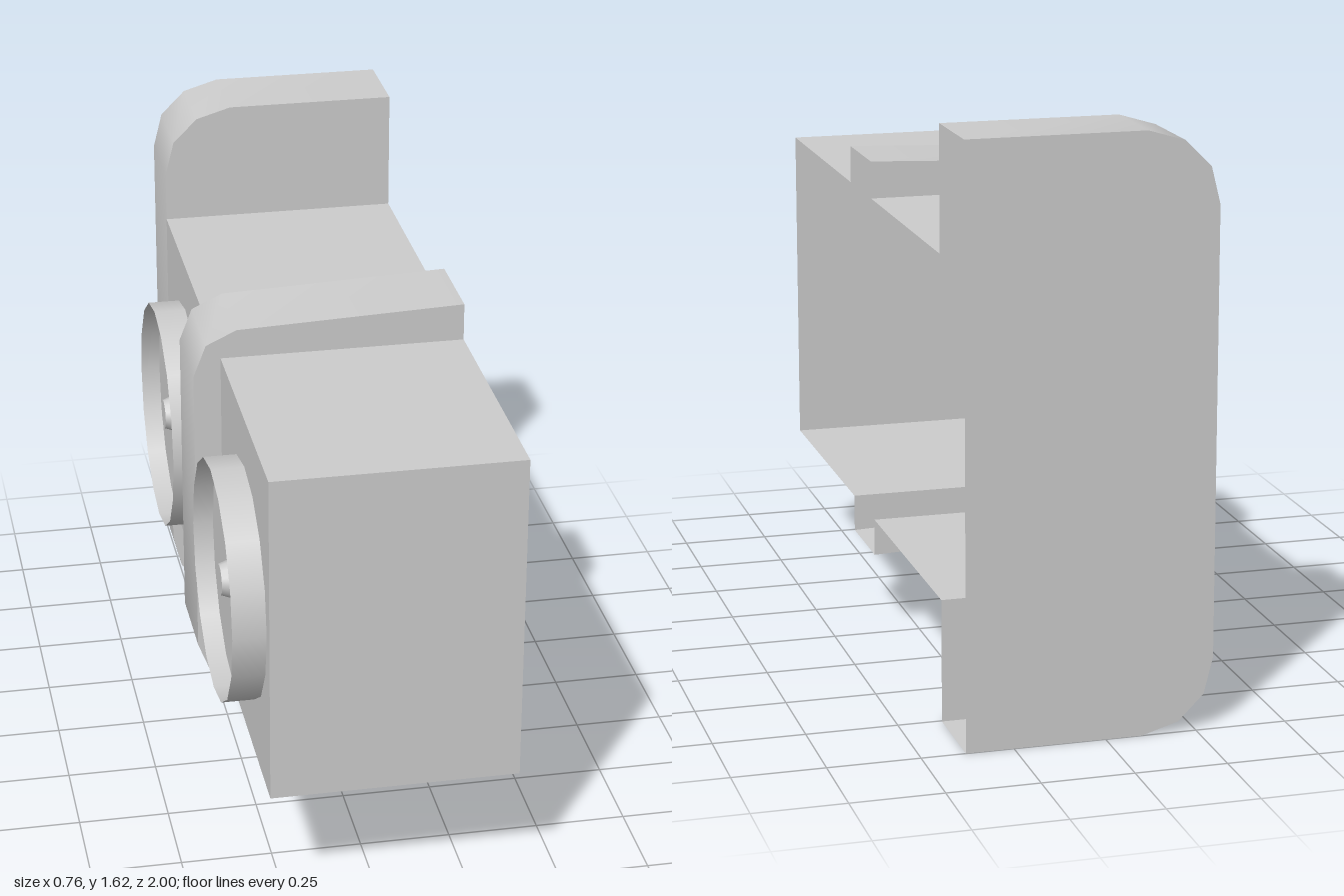
import * as THREE from 'three';
import { toCreasedNormals } from 'three/addons/utils/BufferGeometryUtils.js';

const MID = 0.8075; // height of the horizontal mirror plane
const OPEN = 0.38; // the shell is open on this side
const WALL = -0.295; // closed side wall

// Lower halves of the cross-sections, from the open side to the closed wall
const bodyHalf = [[OPEN, 0.34], [WALL, 0.34]];
const collarHalf = [[OPEN, 0.235], [-0.25, 0.26], [-0.335, 0.30], [-0.37, 0.39]];
const plateHalf = [[OPEN, 0], [-0.1, 0], [-0.2, 0.03], [-0.27, 0.1], [WALL, 0.2]];

const flip = ([x, y]) => [x, 2 * MID - y];
const mirrored = (half) => [...half, ...half.map(flip).reverse()];

export function createModel() {
  const model = new THREE.Group();
  const material = new THREE.MeshStandardMaterial({ color: 0xcccccc, side: THREE.DoubleSide });

  const add = (name, geometry, parent = model) => {
    const mesh = new THREE.Mesh(geometry, material);
    mesh.name = name;
    parent.add(mesh);
    return mesh;
  };

  // Open sheet: a mirrored cross-section swept from z0 to z1
  const sheet = (name, half, z0, z1) => {
    const outline = mirrored(half);
    const positions = [];
    for (let i = 0; i < outline.length - 1; i++) {
      const a = outline[i], b = outline[i + 1];
      positions.push(...a, z0, ...a, z1, ...b, z0, ...b, z0, ...a, z1, ...b, z1);
    }
    const geometry = new THREE.BufferGeometry();
    geometry.setAttribute('position', new THREE.Float32BufferAttribute(positions, 3));
    add(name, toCreasedNormals(geometry, 0.8));
  };

  // Flat panel across the given outline, facing front or back
  const panel = (name, points, z, facesBack = false) => {
    const s = facesBack ? -1 : 1;
    const shape = new THREE.Shape(points.map(([x, y]) => new THREE.Vector2(s * x, y)));
    const geometry = new THREE.ShapeGeometry(shape);
    if (facesBack) geometry.rotateY(Math.PI);
    add(name, geometry.translate(0, 0, z));
  };

  // Step between the body and a larger section, made as two mirrored halves
  const step = (name, half, z, facesBack) => {
    const edge = half[half.length - 1][0];
    const bridge = edge < WALL ? [[edge, MID], [WALL, MID]] : [];
    const lower = [...half, ...bridge, ...[...bodyHalf].reverse()];
    panel(name + 'Lower', lower, z, facesBack);
    panel(name + 'Upper', lower.map(flip), z, facesBack);
  };

  // Hollow body, collar and end plate
  sheet('frontBody', bodyHalf, 0.25, 1);
  sheet('collar', collarHalf, 0, 0.25);
  sheet('rearBody', bodyHalf, -0.755, 0);
  sheet('endPlateRim', plateHalf, -1, -0.755);
  panel('frontCap', mirrored(bodyHalf), 1);
  panel('endPlateBack', mirrored(plateHalf), -1, true);
  step('collarFrontStep', collarHalf, 0.25, false);
  step('collarRearStep', collarHalf, 0, true);
  step('endPlateFrontStep', plateHalf, -0.755, false);

  // Round dials on the closed wall: thin rim, recessed face, small button
  for (const [name, z] of [['frontDial', 0.63], ['rearDial', -0.4]]) {
    const dial = new THREE.Group();
    dial.name = name;
    dial.position.set(WALL, 0.805, z);
    dial.rotation.z = Math.PI / 2; // local +y points out of the wall
    model.add(dial);
    add('dialRim', new THREE.CylinderGeometry(0.33, 0.33, 0.09, 16, 1, true), dial).position.y = 0.045;
    add('dialFace', new THREE.CircleGeometry(0.33, 16).rotateX(-Math.PI / 2), dial).position.y = 0.035;
    add('dialButton', new THREE.CylinderGeometry(0.042, 0.055, 0.035, 12), dial).position.y = 0.0525;
  }
  return model;
}
